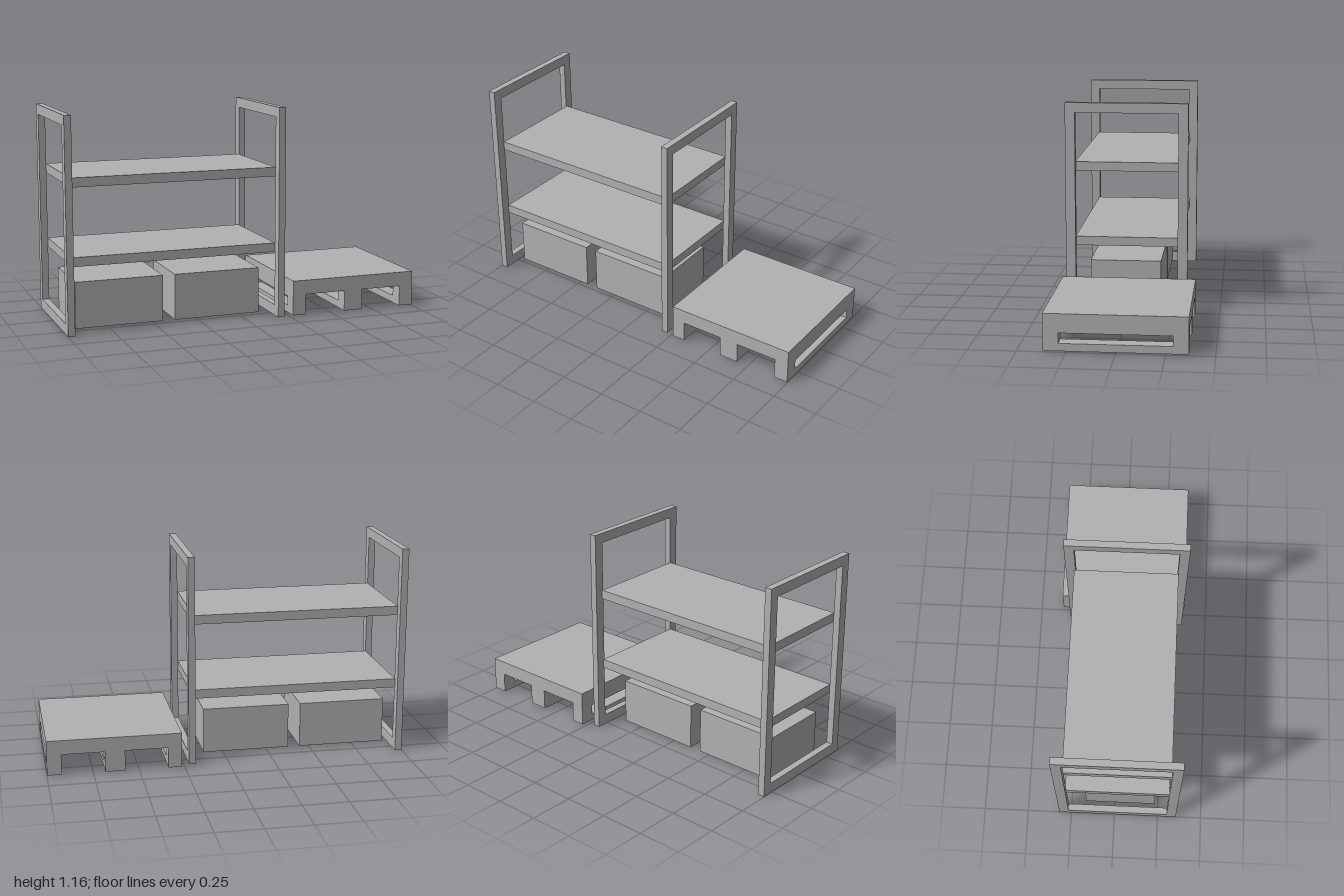
import * as THREE from 'three';

export function createModel() {
  const model = new THREE.Group();
  model.name = 'storageRackWithPallet';
  const grey = new THREE.MeshStandardMaterial({ color: 0xb2b2b2 });
  grey.name = 'plain grey';

  const add = (name, geometry, parent = model) => {
    const mesh = new THREE.Mesh(geometry, grey);
    mesh.name = name;
    parent.add(mesh);
    return mesh;
  };

  // Box given by its limits on each axis
  const block = (name, [x0, x1], [y0, y1], [z0, z1], parent) =>
    add(name, new THREE.BoxGeometry(x1 - x0, y1 - y0, z1 - z0), parent)
      .position.set((x0 + x1) / 2, (y0 + y1) / 2, (z0 + z1) / 2);

  const rectangle = (path, [z0, z1], [y0, y1]) => path
    .moveTo(-z1, y0).lineTo(-z0, y0).lineTo(-z0, y1).lineTo(-z1, y1).closePath();

  // Upright slab across x with a rectangular opening
  const openSlab = (name, [x0, x1], outerZ, outerY, holeZ, holeY, parent) => {
    const shape = new THREE.Shape();
    rectangle(shape, outerZ, outerY);
    const hole = new THREE.Path();
    rectangle(hole, holeZ, holeY);
    shape.holes.push(hole);
    const geometry = new THREE.ExtrudeGeometry(shape, { depth: x1 - x0, bevelEnabled: false });
    geometry.rotateY(Math.PI / 2).translate(x0, 0, 0);
    add(name, geometry, parent);
  };

  // Rack: two end frames and two shelves
  const rack = new THREE.Group();
  rack.name = 'rack';
  model.add(rack);
  for (const [name, x] of [['rightEndFrame', [-1, -0.962]], ['leftEndFrame', [0.182, 0.22]]]) {
    openSlab(name, x, [-0.318, 0.355], [0, 1.16], [-0.264, 0.301], [0.058, 1.105], rack);
  }
  for (const [name, y] of [['lowerShelf', [0.36, 0.41]], ['upperShelf', [0.78, 0.83]]]) {
    block(name, [-0.962, 0.182], y, [-0.272, 0.305], rack);
  }

  // Crates under the lower shelf
  for (const [name, x] of [['rightCrate', [-0.93, -0.443]], ['leftCrate', [-0.375, 0.113]]]) {
    block(name, x, [0.006, 0.26], [-0.166, 0.23]);
  }

  // Pallet: deck on three slotted runners
  const pallet = new THREE.Group();
  pallet.name = 'pallet';
  model.add(pallet);
  const palletZ = [-0.367, 0.367];
  block('palletDeck', [0.266, 1], [0.12, 0.2], palletZ, pallet);
  for (const x of [[0.266, 0.341], [0.577, 0.686], [0.921, 1]]) {
    openSlab('palletRunner', x, palletZ, [0.006, 0.12], [-0.287, 0.287], [0.046, 0.1], pallet);
  }

  return model;
}
